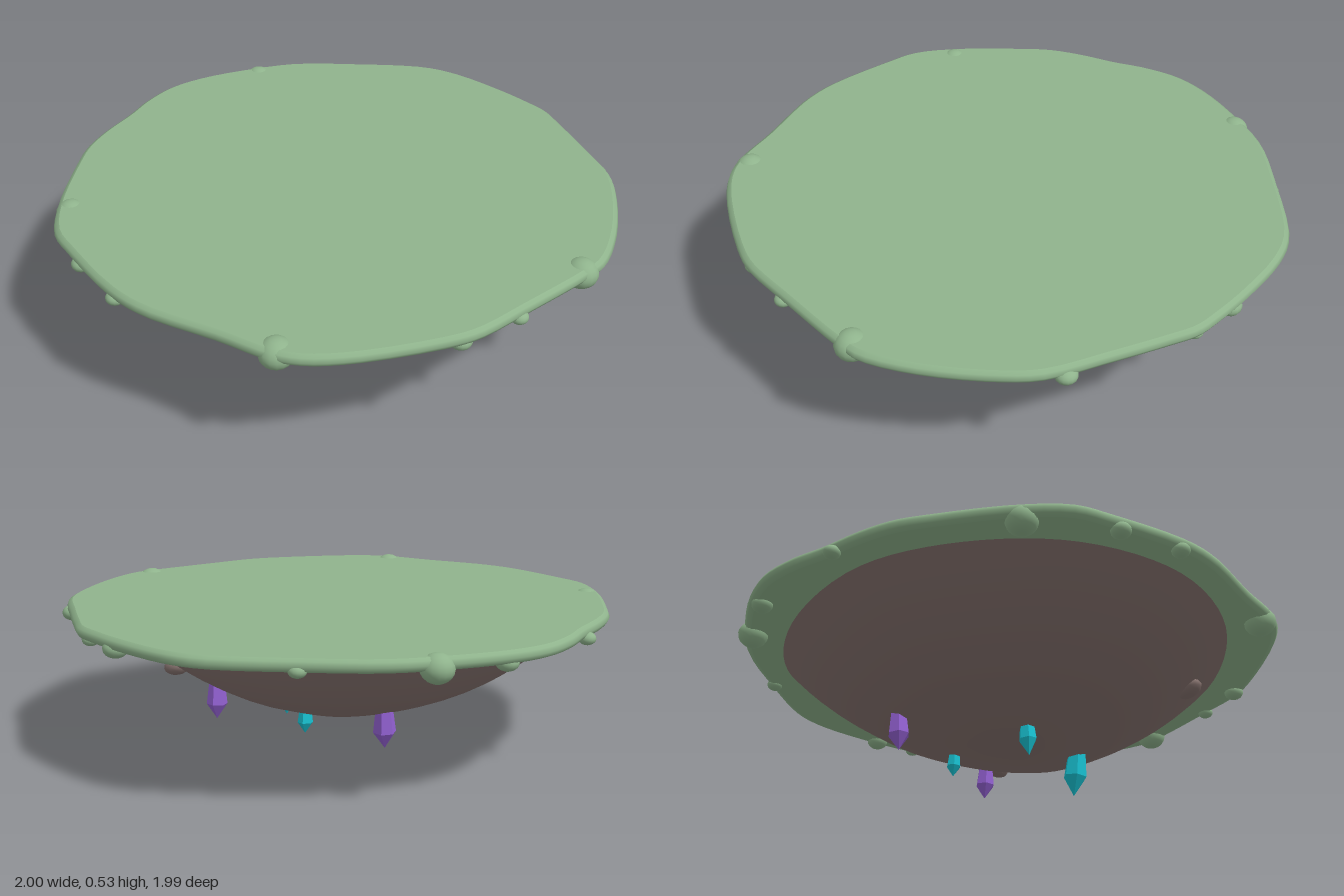
import * as THREE from 'three';

const moss = new THREE.MeshStandardMaterial({ name: 'moss green', color: 0x8fb38c });
const stone = new THREE.MeshStandardMaterial({ name: 'brown stone', color: 0x85726e });
const teal = new THREE.MeshStandardMaterial({ name: 'teal crystal', color: 0x18c0d0 });
const purple = new THREE.MeshStandardMaterial({ name: 'purple crystal', color: 0x9260d0 });

// Lofts a closed [x, z] outline through [scale, y] levels, bottom to top
function loft(outline, levels, samples) {
  const curve = new THREE.CatmullRomCurve3(
    outline.map(([x, z]) => new THREE.Vector3(x, 0, z)), true, 'centripetal');
  const ring = curve.getPoints(samples).slice(0, samples);
  const positions = [], index = [];
  levels.forEach(([s, y], j) => {
    ring.forEach((p, i) => {
      positions.push(p.x * s, y, p.z * s);
      if (j === levels.length - 1) return;
      const a = j * samples + i, b = j * samples + (i + 1) % samples;
      index.push(a, a + samples, b, b, a + samples, b + samples);
    });
  });
  const geo = new THREE.BufferGeometry();
  geo.setAttribute('position', new THREE.Float32BufferAttribute(positions, 3));
  geo.setIndex(index);
  geo.computeVertexNormals();
  return geo;
}

export function createModel() {
  const model = new THREE.Group();
  model.name = 'floatingIsland';
  const add = (name, geo, mat) => {
    const mesh = new THREE.Mesh(geo, mat);
    mesh.name = name;
    model.add(mesh);
    return mesh;
  };

  // Grass slab: flat faces with a rounded edge (doubled levels keep a crease)
  const slabOutline = [
    [0.99, 0], [0.96, 0.2], [0.92, 0.42], [0.85, 0.55], [0.7, 0.74], [0.56, 0.86], [0.47, 0.89],
    [0.2, 0.95], [0, 0.99], [-0.11, 0.985], [-0.4, 0.92], [-0.54, 0.86], [-0.62, 0.79],
    [-0.72, 0.64], [-0.88, 0.42], [-0.94, 0.28], [-0.99, 0], [-1, -0.13], [-0.94, -0.3],
    [-0.8, -0.54], [-0.73, -0.64], [-0.63, -0.73], [-0.5, -0.82], [-0.4, -0.9], [-0.27, -0.97],
    [-0.12, -0.995], [0.1, -0.98], [0.29, -0.94], [0.52, -0.82], [0.77, -0.66], [0.86, -0.54],
    [0.94, -0.34], [0.98, -0.2], [1, -0.1],
  ];
  add('grassSlab', loft(slabOutline, [
    [0, 0.475], [0.975, 0.475], [0.975, 0.475], [0.992, 0.482], [1, 0.497],
    [0.994, 0.512], [0.98, 0.52], [0.98, 0.52], [0, 0.52],
  ], 120), moss);

  // Rock underside: shallow irregular bowl
  const rockOutline = [
    [0.81, 0.2], [0.69, 0.57], [0.4, 0.77], [0, 0.85], [-0.5, 0.68], [-0.8, 0.35], [-0.87, -0.05],
    [-0.74, -0.42], [-0.48, -0.7], [0, -0.84], [0.39, -0.77], [0.64, -0.5], [0.75, -0.28],
  ];
  const bowl = [];
  for (let k = 0; k <= 16; k++) {
    const r = k / 16;
    bowl.push([r, 0.125 + 0.36 * r ** 2.5]);
  }
  add('rockUnderside', loft(rockOutline, bowl, 80), stone);

  // Moss clumps along the rim: x, y, z, radius
  [
    [0.12, 0.48, -0.945, 0.055], [-0.9, 0.48, -0.27, 0.055],
    [-0.58, 0.482, 0.76, 0.058], [0.48, 0.482, 0.84, 0.058],
    [0.92, 0.477, -0.28, 0.043], [0.96, 0.475, -0.11, 0.03], [0.92, 0.477, 0.34, 0.038],
    [0.51, 0.48, -0.8, 0.03], [-0.12, 0.475, -0.95, 0.038], [-0.53, 0.477, -0.79, 0.03],
    [-0.96, 0.475, 0.04, 0.035], [-0.92, 0.475, 0.27, 0.032],
    [-0.05, 0.472, 0.95, 0.037], [0.17, 0.478, 0.94, 0.03],
  ].forEach(([x, y, z, r]) => {
    const clump = add('mossClump', new THREE.SphereGeometry(r, 16, 10), moss);
    clump.position.set(x, y, z);
    clump.scale.y = r > 0.05 ? 0.88 : 0.75;
  });

  // Pebbles set into the rock
  [[-0.26, 0.34, 0.63, 0.35], [0.59, 0.28, 0.16, -1.2]].forEach(([x, y, z, turn]) => {
    const pebble = add('pebble', new THREE.SphereGeometry(0.055, 14, 8), stone);
    pebble.position.set(x, y, z);
    pebble.scale.set(1, 0.55, 0.75);
    pebble.rotation.set(0, turn, -0.2);
  });

  // Hanging faceted crystals: x, z, tip height, length, radius, tilt
  [
    [0.1, 0.305, 0, 0.19, 0.046, 0.08, teal],
    [-0.165, 0.025, 0.025, 0.15, 0.033, -0.06, teal],
    [0.21, -0.143, 0.063, 0.1, 0.028, 0.04, teal],
    [0.47, 0.07, 0.093, 0.14, 0.038, 0.03, purple],
    [0.02, -0.405, 0.058, 0.15, 0.041, -0.04, purple],
  ].forEach(([x, z, tip, len, r, tilt, mat]) => {
    const profile = [[0, 0], [r, 0.4 * len], [0.75 * r, 0.97 * len], [0, len]]
      .map(([a, b]) => new THREE.Vector2(a, b));
    const geo = new THREE.LatheGeometry(profile, 6).toNonIndexed();
    geo.computeVertexNormals();
    const crystal = add('crystal', geo, mat);
    crystal.position.set(x, tip, z);
    crystal.rotation.set(tilt / 2, 0.3, tilt);
  });

  return model;
}
